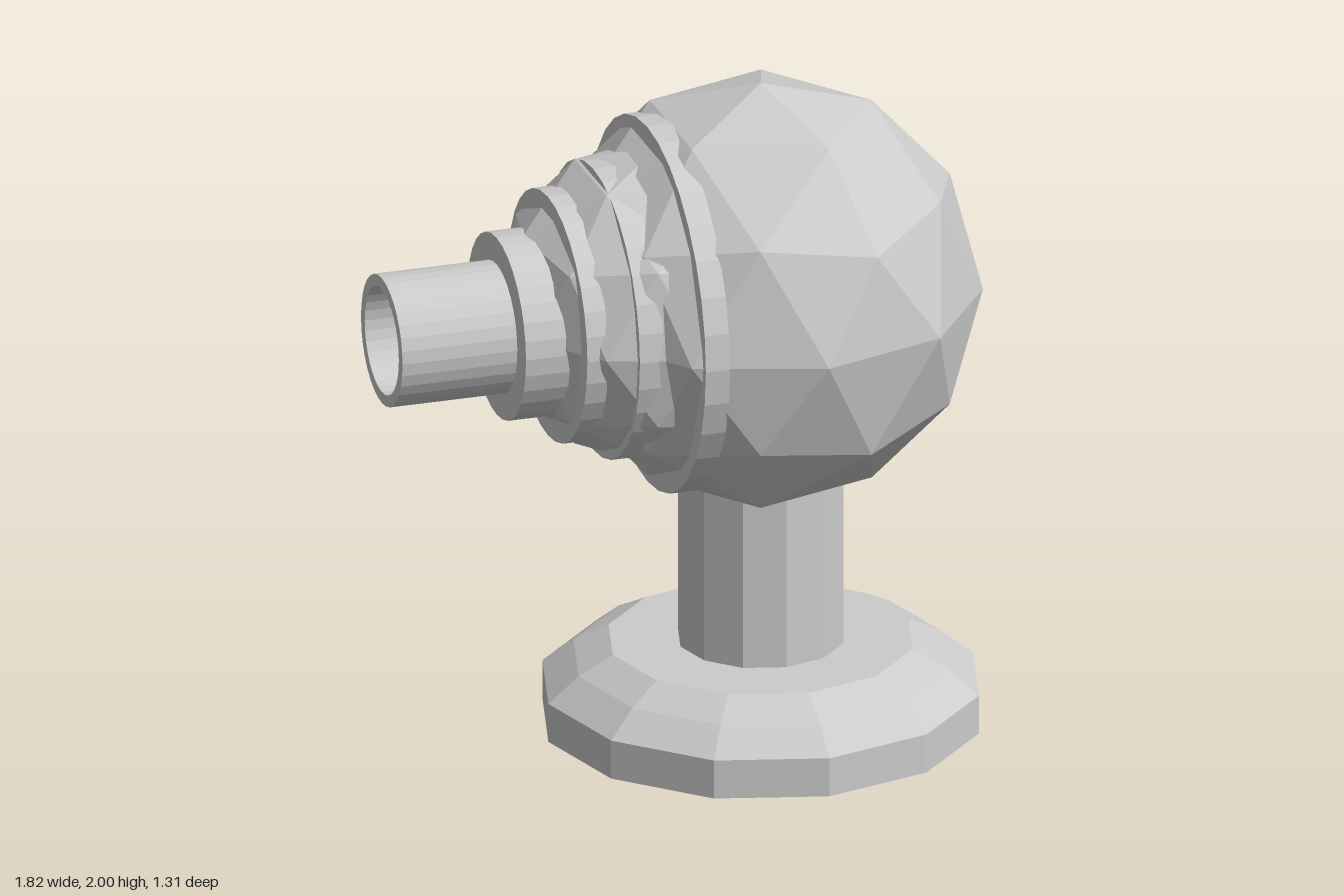
import * as THREE from 'three';

const material = new THREE.MeshStandardMaterial({ color: 0xcccccc, flatShading: true });
const CX = 0.255; // axis of the stand
const CY = 1.35; // height of the ball centre

function add(group, name, geometry, x, y) {
  const mesh = new THREE.Mesh(geometry, material);
  mesh.name = name;
  mesh.position.set(x, y, 0);
  group.add(mesh);
}

// Faceted ball with one corner pointing straight up
function ball(radius) {
  const golden = (1 + Math.sqrt(5)) / 2;
  return new THREE.IcosahedronGeometry(radius, 1).rotateZ(-Math.atan(1 / golden));
}

// Lathe from [radius, height] pairs
function turned(points, sides) {
  return new THREE.LatheGeometry(points.map(([r, h]) => new THREE.Vector2(r, h)), sides);
}

export function createModel() {
  const group = new THREE.Group();
  group.name = 'ballHeadOnStand';

  // Twelve-sided foot and stem
  add(group, 'base', turned([[0, 0], [0.653, 0], [0.653, 0.12], [0.56, 0.195], [0.455, 0.25], [0, 0.25]], 12), CX, 0);
  add(group, 'stem', new THREE.CylinderGeometry(0.247, 0.247, 0.65, 12), CX, 0.525);

  // Large head and the smaller ball emerging from its side
  add(group, 'head', ball(0.65), CX, CY);
  add(group, 'innerBall', ball(0.49), -0.06, CY);

  // Stepped collars: left end, right end, radius, height of centre
  const collars = [
    [-0.095, -0.02, 0.56, 1.347],
    [-0.26, -0.185, 0.444, 1.35],
    [-0.4, -0.335, 0.377, 1.347],
    [-0.557, -0.42, 0.279, 1.334],
  ];
  collars.forEach(([x0, x1, r, y], i) => {
    const disc = new THREE.CylinderGeometry(r, r, x1 - x0, 32).rotateZ(Math.PI / 2);
    add(group, `collar${i + 1}`, disc, (x0 + x1) / 2, y);
  });

  // Hollow spout, open at its outer end
  const spout = turned([[0.197, 0], [0.197, 0.4], [0.162, 0.4], [0.162, 0.03], [0, 0.03]], 32);
  add(group, 'spout', spout.rotateZ(Math.PI / 2), -0.51, 1.333);

  return group;
}
